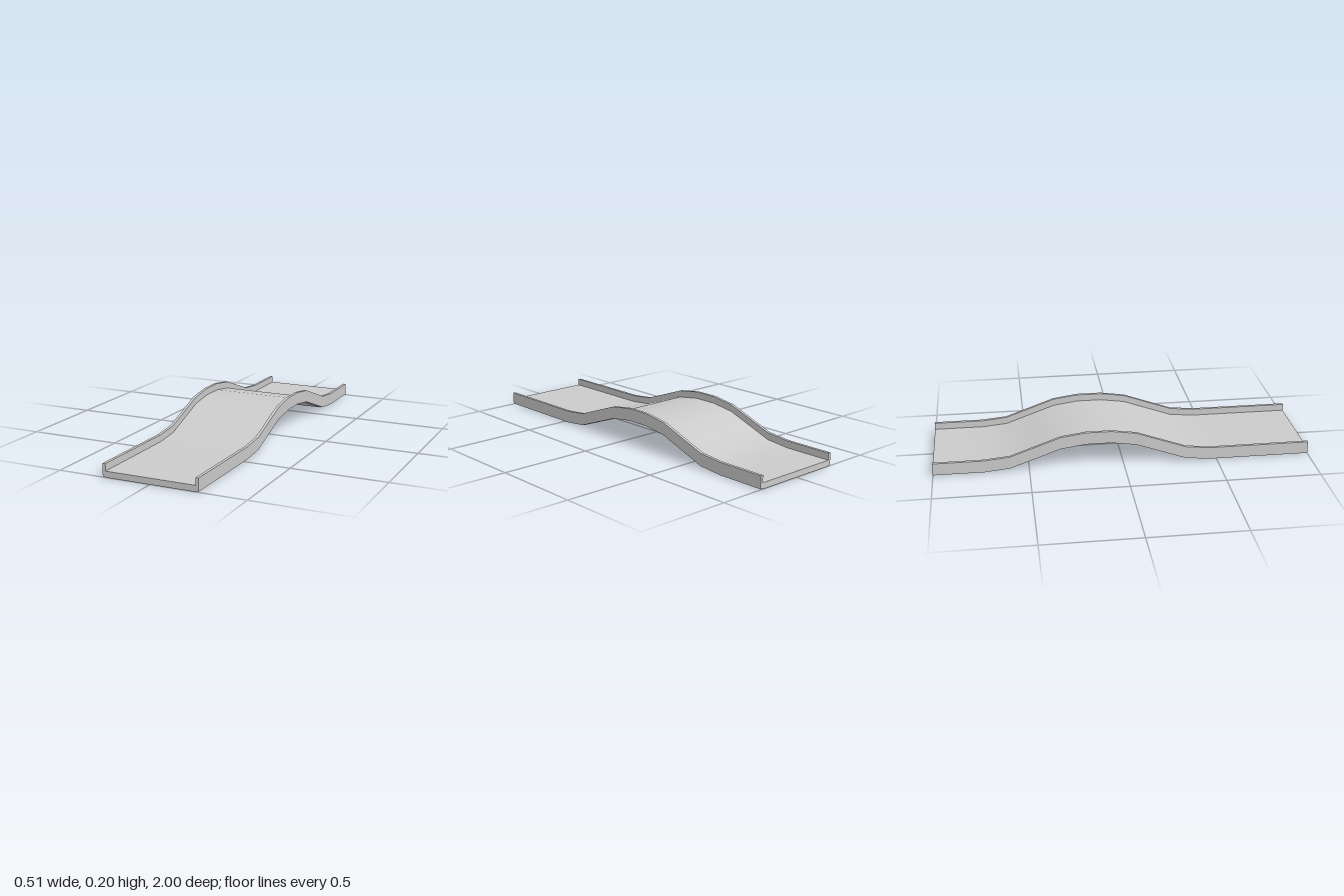
import * as THREE from 'three';

const SEGMENTS = 15;
// Hump height at each station, counted outward from the crest
const HUMP = [0.128, 0.109, 0.061, 0.013, 0];
const CREST_Z = -2 / 15;

function rise(z) {
  const step = Math.round(Math.abs(z - CREST_Z) * 7.5 - 0.5);
  return HUMP[step] ?? 0;
}

// Box strip along z, bent over the hump; faces stay sharp at the long edges
function strip(name, x0, x1, y0, y1, material) {
  const geometry = new THREE.BoxGeometry(x1 - x0, y1 - y0, 2, 1, 1, SEGMENTS);
  geometry.translate((x0 + x1) / 2, (y0 + y1) / 2, 0);
  const p = geometry.attributes.position;
  for (let i = 0; i < p.count; i++) p.setY(i, p.getY(i) + rise(p.getZ(i)));
  geometry.computeVertexNormals();
  const mesh = new THREE.Mesh(geometry, material);
  mesh.name = name;
  return mesh;
}

export function createModel() {
  const group = new THREE.Group();
  group.name = 'humpedTrack';
  const material = new THREE.MeshStandardMaterial({ color: 0xcccccc });

  // Road deck
  group.add(strip('deck', -0.24, 0.24, 0, 0.032, material));

  // Side rails
  group.add(strip('leftRail', 0.24, 0.256, 0.003, 0.069, material));
  group.add(strip('rightRail', -0.256, -0.24, 0.003, 0.069, material));

  return group;
}
